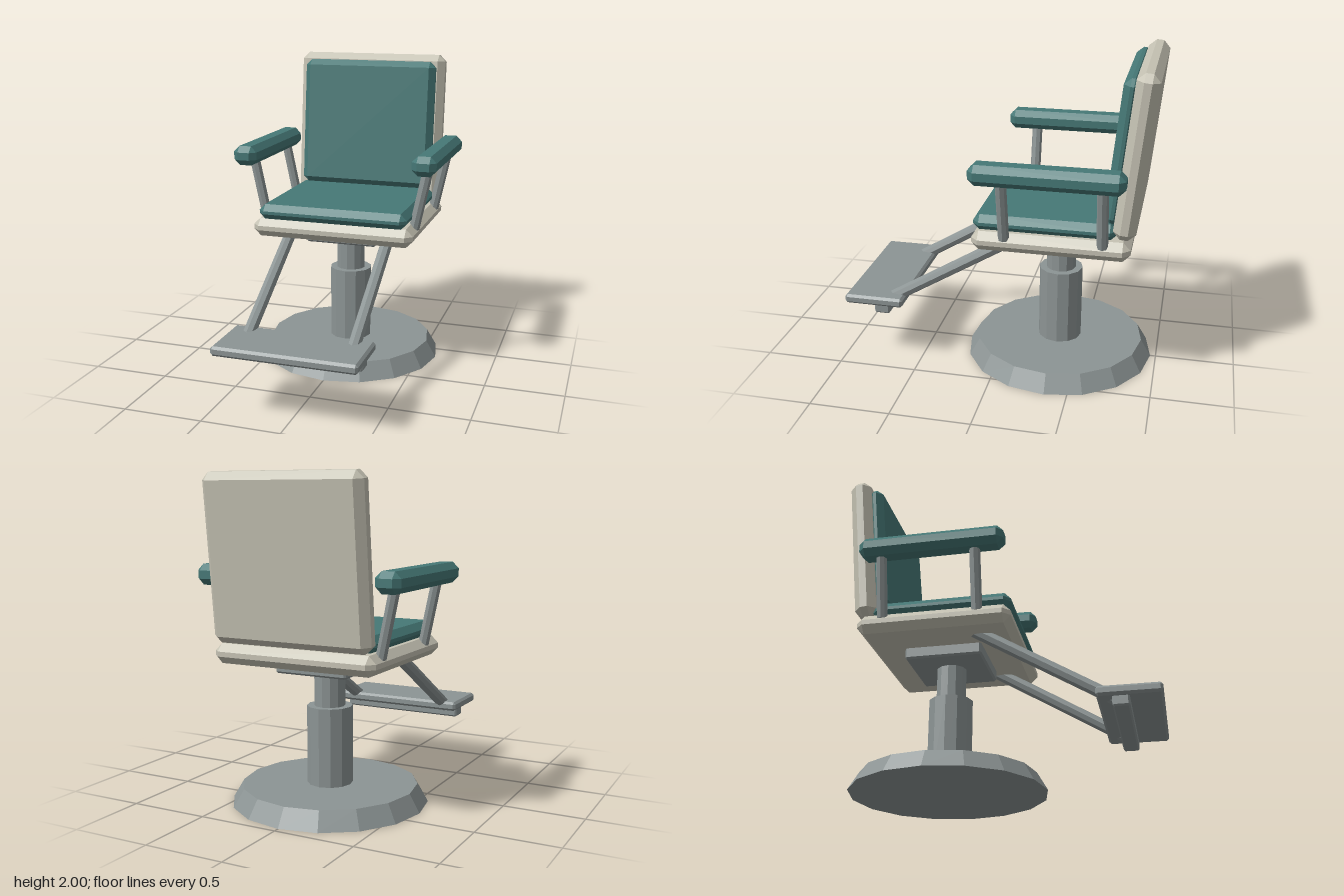
import * as THREE from 'three';
import { ConvexGeometry } from 'three/addons/geometries/ConvexGeometry.js';

const paint = (color) => new THREE.MeshStandardMaterial({ color, flatShading: true });

// Box with all edges chamfered by c
function chamferBox(w, h, d, c) {
  const points = [];
  const [x, y, z] = [w / 2, h / 2, d / 2];
  for (const sx of [-1, 1]) for (const sy of [-1, 1]) for (const sz of [-1, 1]) {
    points.push(
      new THREE.Vector3(sx * x, sy * (y - c), sz * (z - c)),
      new THREE.Vector3(sx * (x - c), sy * y, sz * (z - c)),
      new THREE.Vector3(sx * (x - c), sy * (y - c), sz * z));
  }
  return new ConvexGeometry(points);
}

export function createModel() {
  const model = new THREE.Group();
  model.name = 'salonChair';
  const metal = paint(0x8c9494);
  const shell = paint(0xc6c3b4);
  const padding = paint(0x467876);
  const axisZ = -0.36;

  function add(name, geometry, material, x, y, z) {
    const mesh = new THREE.Mesh(geometry, material);
    mesh.name = name;
    mesh.position.set(x, y, z);
    model.add(mesh);
    return mesh;
  }

  const block = (name, material, [w, h, d], c, [x, y, z]) =>
    add(name, chamferBox(w, h, d, c), material, x, y, z);

  // Straight rod between two points
  function rod(name, a, b, radius) {
    const from = new THREE.Vector3(...a);
    const dir = new THREE.Vector3(...b).sub(from);
    const mesh = add(name, new THREE.CylinderGeometry(radius, radius, dir.length(), 8), metal,
      ...from.clone().addScaledVector(dir, 0.5).toArray());
    mesh.quaternion.setFromUnitVectors(new THREE.Vector3(0, 1, 0), dir.normalize());
  }

  // Pedestal
  add('base', new THREE.CylinderGeometry(0.54, 0.605, 0.11, 16), metal, 0, 0.055, axisZ);
  add('lowerColumn', new THREE.CylinderGeometry(0.14, 0.14, 0.49, 12), metal, 0, 0.35, axisZ);
  add('upperColumn', new THREE.CylinderGeometry(0.095, 0.095, 0.26, 12), metal, 0, 0.7, axisZ);
  block('seatMount', metal, [0.475, 0.09, 0.485], 0.012, [0, 0.857, axisZ]);

  // Seat
  block('seatShell', shell, [1.06, 0.12, 0.95], 0.045, [0, 0.943, axisZ]);
  block('seatCushion', padding, [0.98, 0.1, 0.86], 0.04, [0, 1.046, -0.32]);

  // Reclined back
  const backShell = block('backShell', shell, [1.03, 0.99, 0.135], 0.045, [0, 1.505, -0.838]);
  const backCushion = block('backCushion', padding, [0.93, 0.87, 0.1], 0.04, [0, 1.523, -0.755]);
  backShell.rotation.x = backCushion.rotation.x = -0.1;

  // Arms and footrest legs, mirrored
  for (const [side, s] of [['left', 1], ['right', -1]]) {
    block(side + 'Armrest', padding, [0.155, 0.125, 0.9], 0.038, [s * 0.587, 1.402, -0.353]);
    rod(side + 'FrontArmPost', [s * 0.5, 0.97, -0.087], [s * 0.587, 1.38, -0.087], 0.034);
    rod(side + 'RearArmPost', [s * 0.5, 0.97, -0.672], [s * 0.587, 1.38, -0.672], 0.034);
    rod(side + 'FootrestLeg', [s * 0.33, 0.93, -0.16], [s * 0.33, 0.41, 0.7], 0.04);
  }

  // Footrest
  block('footrestPlate', metal, [0.89, 0.06, 0.38], 0.015, [0, 0.43, 0.777]);
  block('footrestBar', metal, [0.84, 0.07, 0.1], 0.01, [0, 0.375, 0.728]);

  return model;
}
